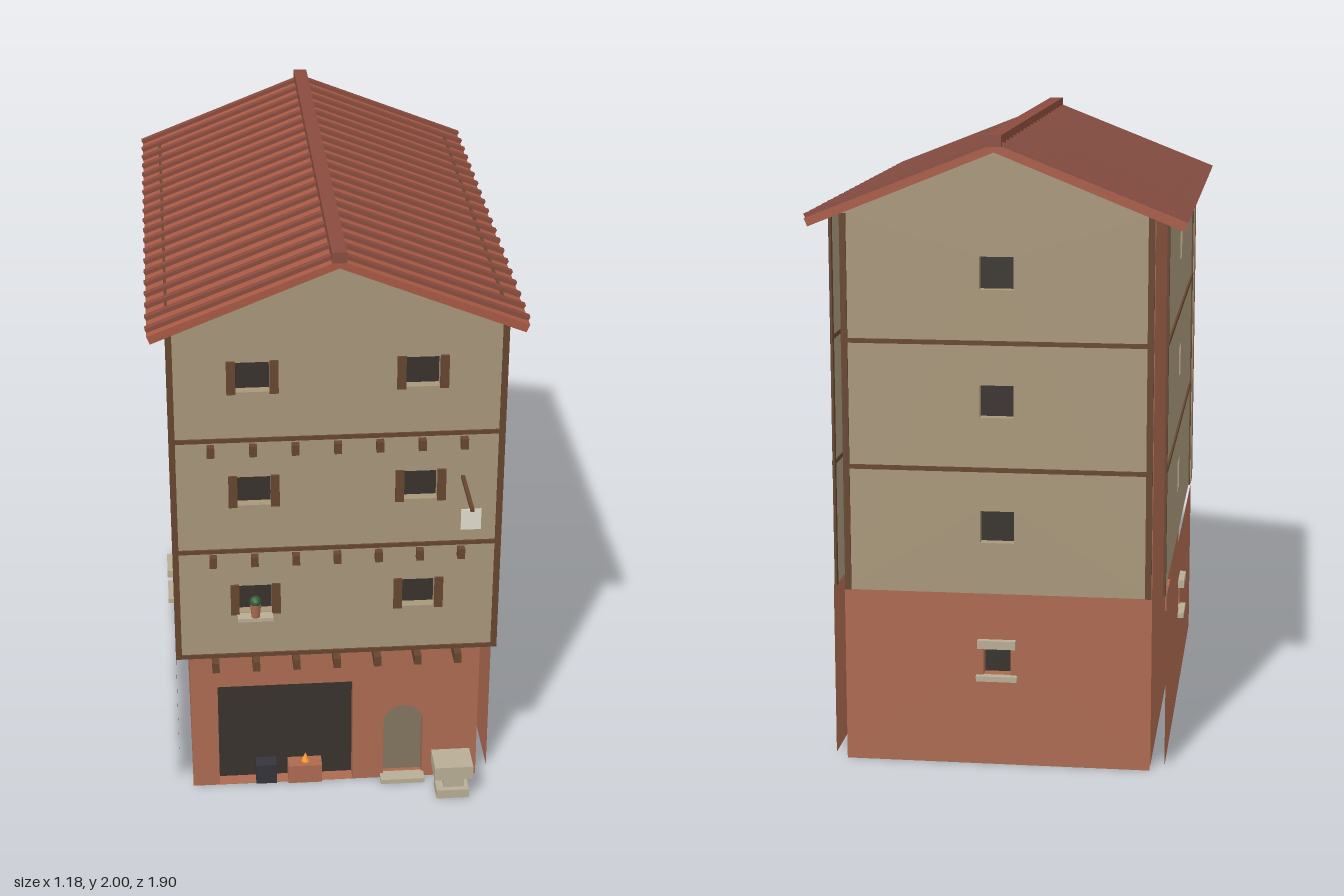
import * as THREE from 'three';

const mat = (color) => new THREE.MeshStandardMaterial({ color, side: THREE.DoubleSide });
const M = {
  plaster: mat(0xa8977a), brick: mat(0xac6a50), roof: mat(0xa85a44), rib: mat(0x8a4c3e),
  wood: mat(0x66462f), dark: mat(0x38322d), stone: mat(0xb8ad96), door: mat(0x83755f),
  sign: mat(0xdedccb), leaf: mat(0x2f5a30), flame: mat(0xff9a2a), iron: mat(0x35353a),
};

// Box given by its minimum and maximum corners
function box(parent, name, material, [x0, y0, z0], [x1, y1, z1]) {
  const mesh = new THREE.Mesh(new THREE.BoxGeometry(x1 - x0, y1 - y0, z1 - z0), material);
  mesh.position.set((x0 + x1) / 2, (y0 + y1) / 2, (z0 + z1) / 2);
  mesh.name = name;
  parent.add(mesh);
  return mesh;
}

function add(parent, name, geometry, material, x = 0, y = 0, z = 0) {
  const mesh = new THREE.Mesh(geometry, material);
  mesh.position.set(x, y, z);
  mesh.name = name;
  parent.add(mesh);
  return mesh;
}

const v2 = (x, y) => new THREE.Vector2(x, y);
const rect = (x0, y0, x1, y1) => [v2(x0, y0), v2(x1, y0), v2(x1, y1), v2(x0, y1)];

// Doorway outline with a round head
function arch(x, half, top) {
  const pts = [v2(x - half, 0.001), v2(x + half, 0.001)];
  for (let i = 0; i <= 12; i++) {
    const a = (Math.PI * i) / 12;
    pts.push(v2(x + half * Math.cos(a), top - half + half * Math.sin(a)));
  }
  return pts;
}

// Walls of an opening, from the facade back to the core
function reveal(pts, depth) {
  const pos = [], idx = [], n = pts.length;
  for (let i = 0; i < n; i++) {
    const a = pts[i], b = pts[(i + 1) % n], k = i * 4;
    pos.push(a.x, a.y, 0, b.x, b.y, 0, b.x, b.y, -depth, a.x, a.y, -depth);
    idx.push(k, k + 2, k + 1, k, k + 3, k + 2);
  }
  const g = new THREE.BufferGeometry();
  g.setAttribute('position', new THREE.Float32BufferAttribute(pos, 3));
  g.setIndex(idx);
  g.computeVertexNormals();
  return g;
}

// Thin wall facing +z with openings: [{ pts, fill }]
function facade(name, half, y0, y1, depth, material, openings) {
  const g = new THREE.Group();
  g.name = name;
  const shape = new THREE.Shape(rect(-half, y0, half, y1));
  for (const o of openings) {
    shape.holes.push(new THREE.Path(o.pts));
    add(g, 'reveal', reveal(o.pts, depth), material);
    add(g, 'openingBack', new THREE.ShapeGeometry(new THREE.Shape(o.pts)), o.fill, 0, 0, 0.003 - depth);
  }
  add(g, 'wall', new THREE.ShapeGeometry(shape), material);
  return g;
}

const FLOORS = [0.56, 0.96, 1.36];

// Timbered upper wall with windows on every floor
function upperFacade(name, half, windowXs, bands) {
  const openings = FLOORS.flatMap((y) => windowXs.map((x) =>
    ({ pts: rect(x - 0.053, y + 0.165, x + 0.053, y + 0.267), fill: M.dark })));
  const g = facade(name, half, 0.56, 1.76, 0.035, M.plaster, openings);
  for (const s of [-1, 1]) {
    box(g, 'cornerPost', M.wood, [s * (half - 0.01) - 0.01, 0.56, -0.003], [s * (half - 0.01) + 0.01, 1.755, 0.005]);
  }
  for (const y of bands) box(g, 'floorBand', M.wood, [-half, y - 0.007, -0.003], [half, y + 0.007, 0.006]);
  return g;
}

// Ground floor wall with one small stone-trimmed window
function groundFacade(name, half) {
  const g = facade(name, half, 0, 0.56, 0.045, M.brick, [{ pts: rect(-0.043, 0.297, 0.043, 0.387), fill: M.dark }]);
  box(g, 'lintel', M.stone, [-0.06, 0.387, -0.005], [0.06, 0.414, 0.02]);
  box(g, 'sill', M.stone, [-0.065, 0.28, -0.005], [0.065, 0.297, 0.02]);
  return g;
}

// Gabled cross-section stretched along z
function chevron(ridge, eaveX, eaveY, thick, depth) {
  const s = new THREE.Shape([v2(0, ridge), v2(-eaveX, eaveY), v2(-eaveX + 0.01, eaveY - thick),
    v2(0, ridge - thick), v2(eaveX - 0.01, eaveY - thick), v2(eaveX, eaveY)]);
  return new THREE.ExtrudeGeometry(s, { depth, bevelEnabled: false });
}

export function createModel() {
  const model = new THREE.Group();
  model.name = 'townHouse';

  // Solid core and jettied front
  box(model, 'core', M.brick, [-0.485, 0, -0.87], [0.485, 1.75, 0.63]);
  box(model, 'jetty', M.plaster, [-0.53, 0.56, 0.63], [0.53, 1.74, 0.7]);

  // Ground floor front: workshop opening and arched door
  const shop = facade('shopFront', 0.485, 0, 0.56, 0.05, M.brick, [
    { pts: rect(-0.395, 0.001, 0.06, 0.4), fill: M.dark },
    { pts: arch(0.232, 0.067, 0.295), fill: M.door },
  ]);
  shop.position.z = 0.68;
  model.add(shop);

  const front = upperFacade('frontWall', 0.53, [-0.265, 0.265], [0.563, 0.96, 1.36]);
  front.position.z = 0.735;
  model.add(front);

  // Back and side walls
  const back = upperFacade('backWall', 0.485, [0], [0.96, 1.36]);
  const backGround = groundFacade('backGroundWall', 0.485);
  back.position.z = -0.905;
  backGround.position.z = -0.915;
  back.rotation.y = backGround.rotation.y = Math.PI;
  model.add(back, backGround);
  for (const s of [-1, 1]) {
    const side = upperFacade('sideWall', 0.75, [0], [0.96, 1.36, 1.765]);
    const ground = groundFacade('sideGroundWall', 0.75);
    side.position.set(s * 0.522, 0, -0.12);
    ground.position.set(s * 0.53, 0, -0.12);
    side.rotation.y = ground.rotation.y = (s * Math.PI) / 2;
    model.add(side, ground);
  }

  // Shutters and joist ends
  for (const y of FLOORS) {
    for (const x of [-0.265, 0.265]) {
      for (const s of [-1, 1]) {
        const cx = x + s * 0.067;
        box(model, 'shutter', M.wood, [cx - 0.014, y + 0.16, 0.732], [cx + 0.014, y + 0.272, 0.742]);
      }
    }
    for (let i = -3; i <= 3; i++) {
      const x = i * 0.1333;
      box(model, 'joist', M.wood, [x - 0.012, y - 0.05, y < 0.6 ? 0.63 : 0.7], [x + 0.012, y - 0.014, 0.76]);
    }
  }

  // Gable ends and roof
  const gable = new THREE.Shape([v2(-0.49, 1.757), v2(0.49, 1.757), v2(0, 1.958)]);
  add(model, 'gable', new THREE.ExtrudeGeometry(gable, { depth: 1.64, bevelEnabled: false }), M.plaster, 0, 0, -0.905);
  add(model, 'roofSlab', chevron(1.973, 0.585, 1.742, 0.025, 1.725), M.roof, 0, 0, -0.95);
  for (let i = 0; i < 20; i++) {
    add(model, 'roofRib', chevron(1.986, 0.59, 1.754, 0.02, 0.024), M.rib, 0, 0, -0.935 + i * 0.0872);
  }
  box(model, 'ridge', M.rib, [-0.023, 1.965, -0.951], [0.023, 2, 0.776]);

  // Workshop contents
  box(model, 'bucket', M.iron, [-0.27, 0, 0.635], [-0.2, 0.075, 0.685]);
  box(model, 'hearth', M.brick, [-0.16, 0, 0.635], [-0.045, 0.07, 0.69]);
  add(model, 'flame', new THREE.ConeGeometry(0.015, 0.035, 6), M.flame, -0.1, 0.087, 0.66);

  // Door step and stone stand
  box(model, 'doorStep', M.stone, [0.155, 0, 0.67], [0.305, 0.017, 0.72]);
  box(model, 'standBase', M.stone, [0.335, 0, 0.735], [0.445, 0.033, 0.815]);
  box(model, 'standPillar', M.stone, [0.36, 0.033, 0.752], [0.43, 0.085, 0.797]);
  box(model, 'standTop', M.stone, [0.325, 0.085, 0.72], [0.455, 0.135, 0.828]);

  // Window ledge with potted plant
  box(model, 'ledge', M.stone, [-0.325, 0.71, 0.735], [-0.21, 0.723, 0.772]);
  add(model, 'pot', new THREE.CylinderGeometry(0.019, 0.014, 0.05, 10), M.brick, -0.267, 0.748, 0.758);
  add(model, 'plant', new THREE.IcosahedronGeometry(0.02, 1), M.leaf, -0.267, 0.779, 0.758);

  // Hanging sign
  box(model, 'signPole', M.wood, [0.394, 1.194, 0.7], [0.406, 1.206, 0.952]);
  box(model, 'signBoard', M.sign, [0.367, 1.125, 0.937], [0.43, 1.197, 0.941]);

  return model;
}
